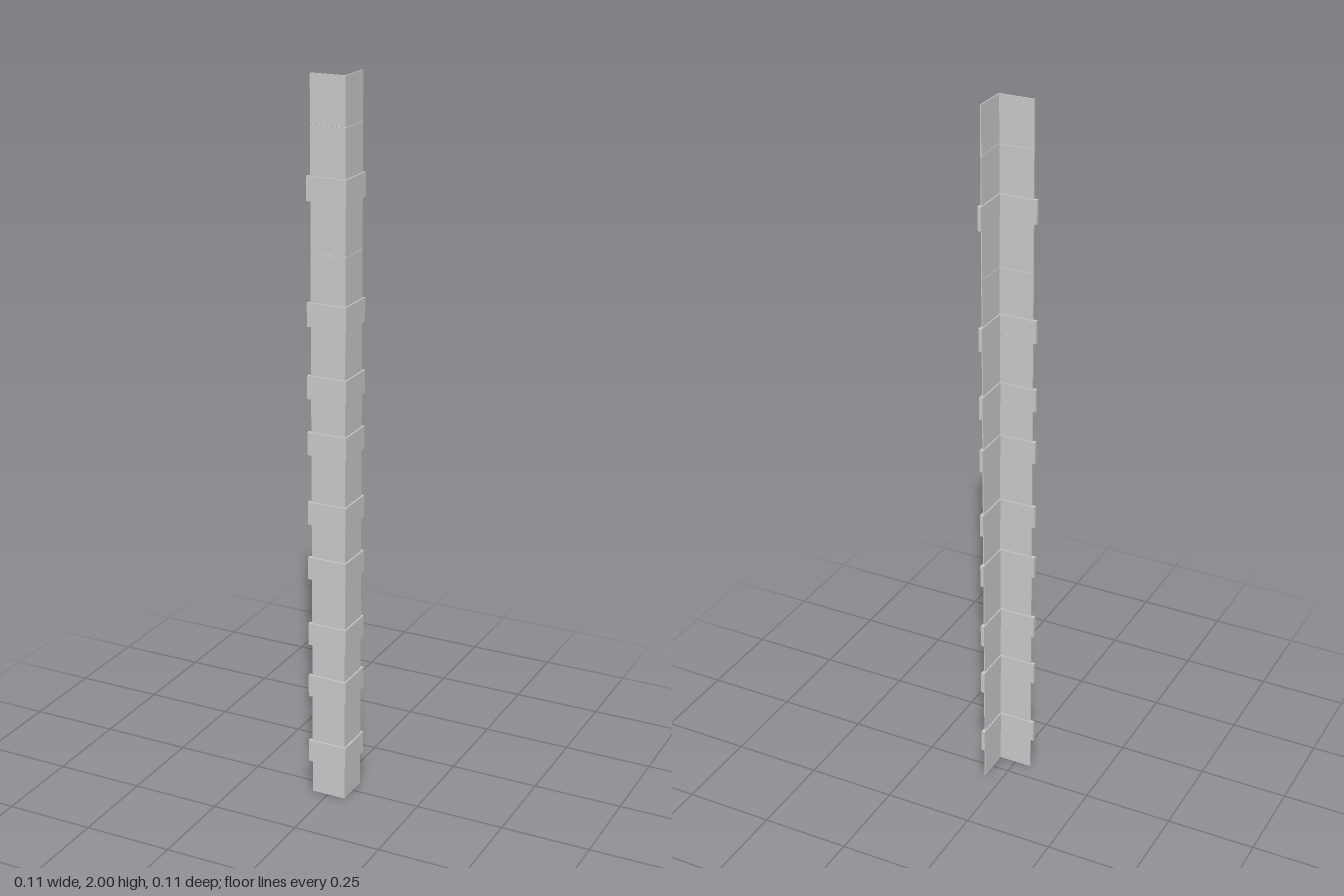
import * as THREE from 'three';

const material = new THREE.MeshStandardMaterial({ color: 0xcccccc, flatShading: true });

// Upright L-section: outer corner at (+outer, +outer), arms reaching to -reach
function angleSection(name, outer, inner, reach, bottom, top) {
  const shape = new THREE.Shape();
  // Shape y is -z once the extrusion is stood upright
  shape.moveTo(-reach, -outer);
  shape.lineTo(outer, -outer);
  shape.lineTo(outer, reach);
  shape.lineTo(inner, reach);
  shape.lineTo(inner, -inner);
  shape.lineTo(-reach, -inner);
  shape.closePath();
  const geometry = new THREE.ExtrudeGeometry(shape, { depth: top - bottom, bevelEnabled: false });
  geometry.rotateX(-Math.PI / 2);
  geometry.translate(0, bottom, 0);
  const mesh = new THREE.Mesh(geometry, material);
  mesh.name = name;
  return mesh;
}

export function createModel() {
  const model = new THREE.Group();
  model.name = 'cornerStrip';

  // Thin corner strip in three lengths, with fine seams between them
  const seams = [0, 1.545, 1.873, 2];
  for (let i = 0; i < 3; i++) {
    const top = seams[i + 1] - (i < 2 ? 0.001 : 0);
    model.add(angleSection('stripSection' + (i + 1), 0.0515, 0.0485, 0.047, seams[i], top));
  }

  // Thicker, wider bands wrapped around the strip
  const bands = [0.127, 0.327, 0.483, 0.677, 0.836, 1.032, 1.187, 1.383, 1.711];
  bands.forEach((y, i) => {
    model.add(angleSection('band' + (i + 1), 0.0555, 0.0455, 0.0565, y - 0.032, y + 0.032));
  });

  return model;
}
